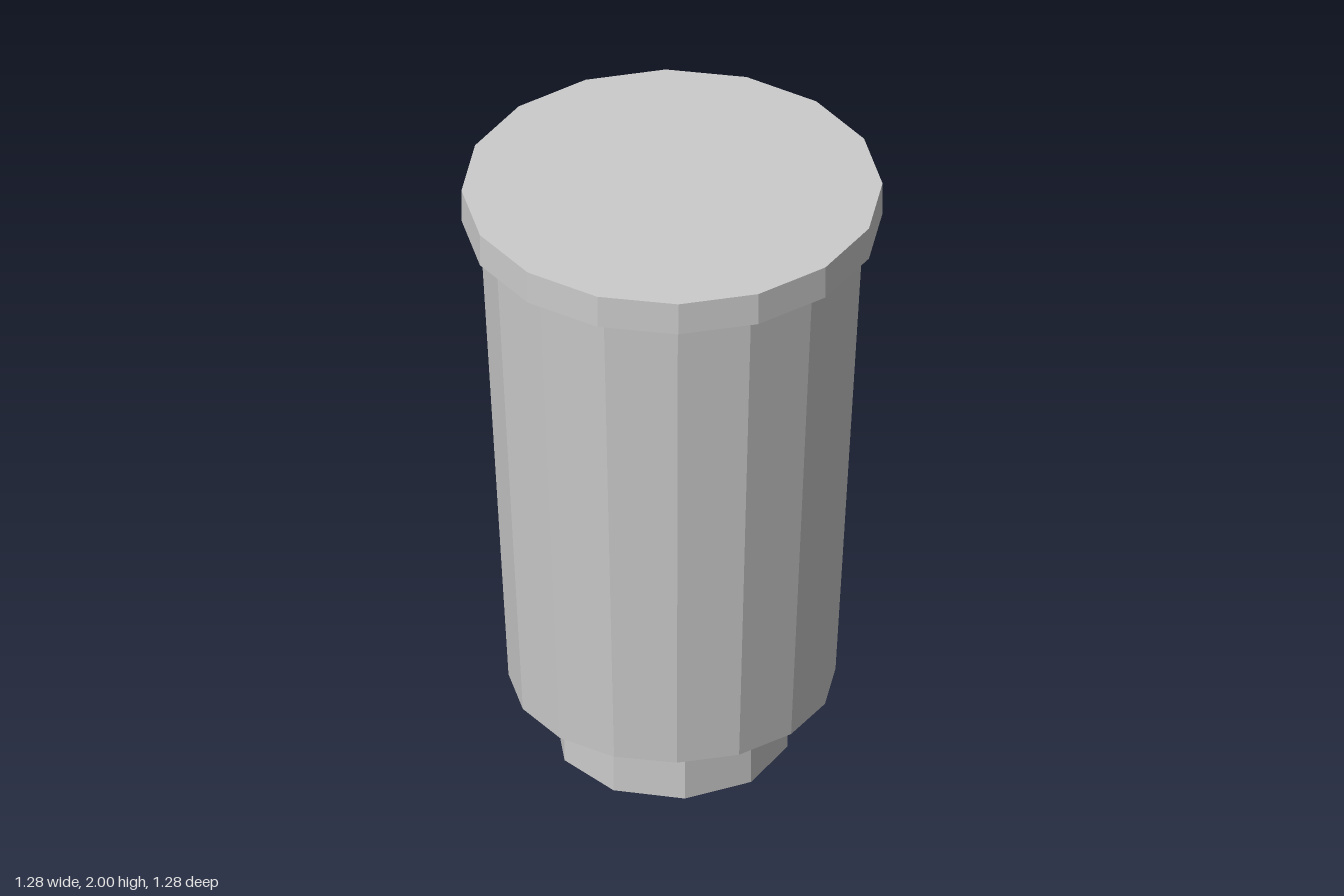
import * as THREE from 'three';

export function createModel() {
  const model = new THREE.Group();
  const material = new THREE.MeshStandardMaterial({ color: 0xcccccc, flatShading: true });

  // Faceted round section between two heights, with a corner on the x axis
  function addSection(name, topRadius, bottomRadius, y0, y1, sides) {
    const geometry = new THREE.CylinderGeometry(
      topRadius, bottomRadius, y1 - y0, sides, 1, false, Math.PI / 2);
    const mesh = new THREE.Mesh(geometry, material);
    mesh.name = name;
    mesh.position.y = (y0 + y1) / 2;
    model.add(mesh);
  }

  addSection('base', 0.358, 0.358, 0, 0.226, 10);
  addSection('taperedBody', 0.585, 0.497, 0.226, 1.89, 16);
  addSection('lid', 0.64, 0.64, 1.89, 2, 16);

  return model;
}
